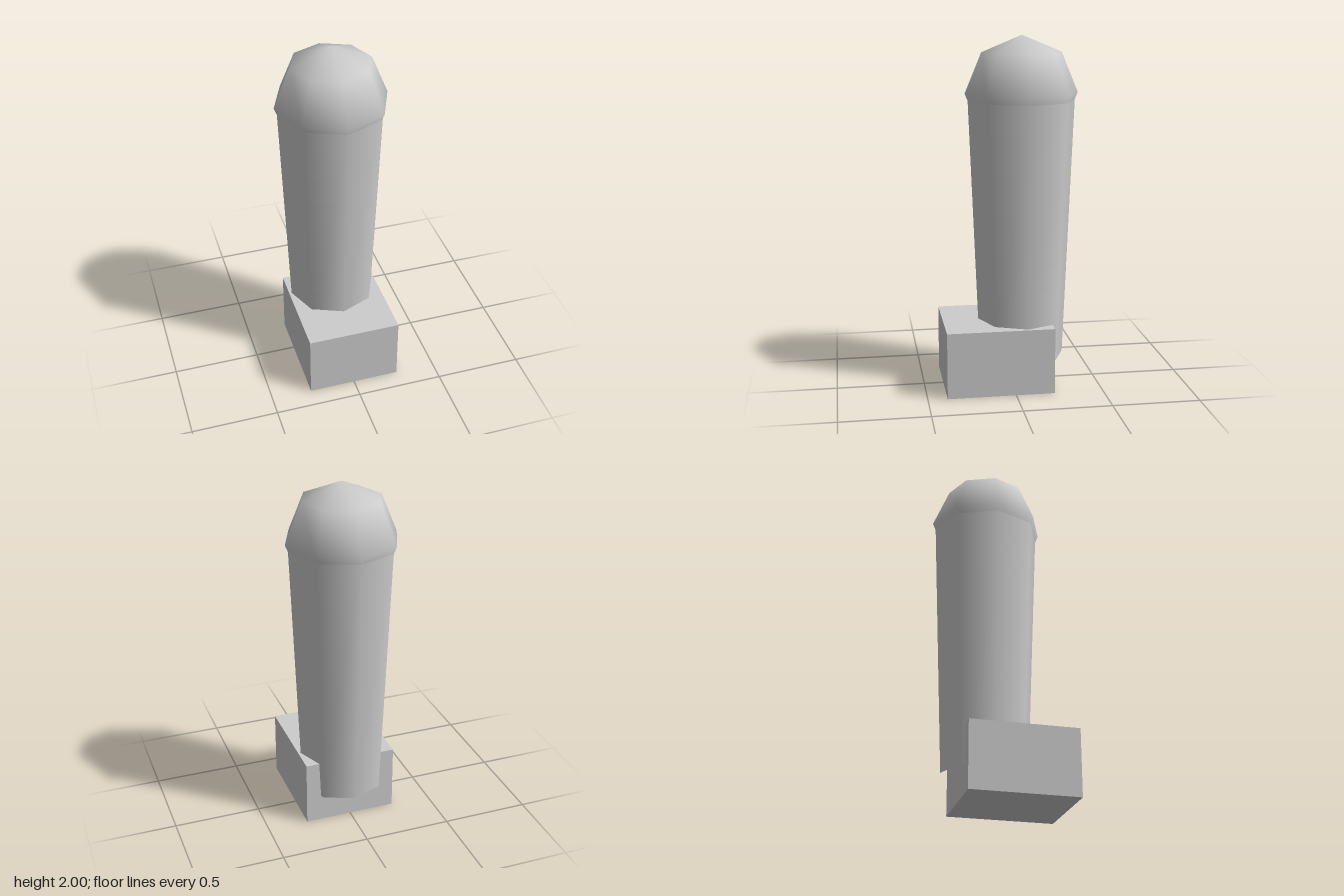
import * as THREE from 'three';

const AXIS_Z = -0.07; // depth of the post's centre line

export function createModel() {
  const group = new THREE.Group();
  const grey = new THREE.MeshStandardMaterial({ color: 0xcccccc });
  grey.name = 'light grey';

  const add = (name, geometry, y, z) => {
    const mesh = new THREE.Mesh(geometry, grey);
    mesh.name = name;
    mesh.position.set(0, y, z);
    group.add(mesh);
  };

  // Block at the foot, reaching forward
  add('base', new THREE.BoxGeometry(0.534, 0.38, 0.61), 0.19, 0.084);

  // Eight-sided post, open at both ends, widening upward
  const bottom = 0.16, top = 1.68;
  add('post', new THREE.CylinderGeometry(0.305, 0.243, top - bottom, 8, 1, true), (top + bottom) / 2, AXIS_Z);

  // Low-poly ball capping the post
  add('cap', new THREE.SphereGeometry(0.32, 8, 4), top, AXIS_Z);

  return group;
}
